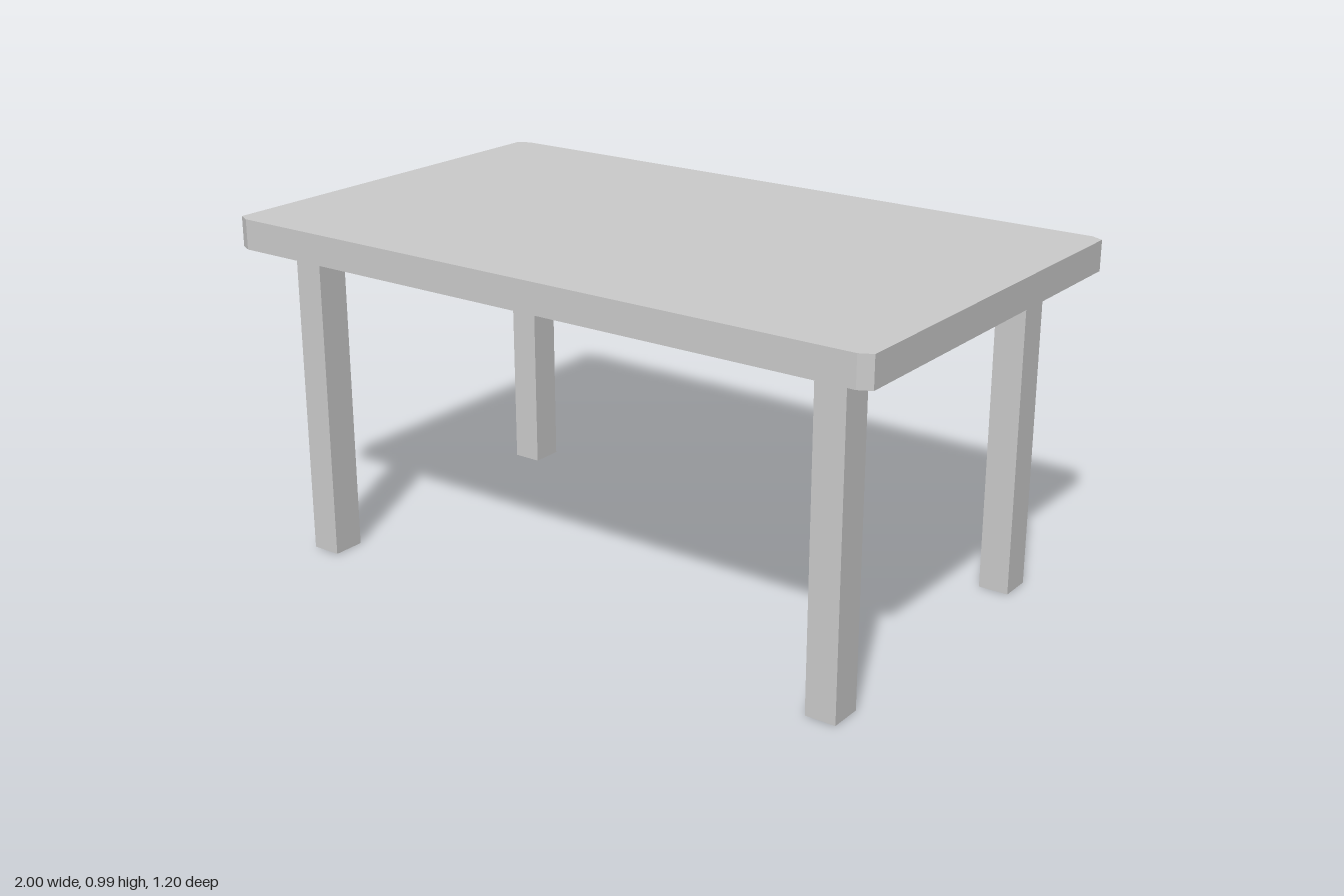
import * as THREE from 'three';

export function createModel() {
  const group = new THREE.Group();
  const material = new THREE.MeshStandardMaterial({ color: 0xcccccc, flatShading: true });

  const topBottom = 0.905, topHeight = 0.085;

  // Table top: a slab with small cut corners
  const w = 1, d = 0.6, cutX = 0.035, cutZ = 0.018;
  const outline = new THREE.Shape([
    [w - cutX, -d], [w, -d + cutZ], [w, d - cutZ], [w - cutX, d],
    [-w + cutX, d], [-w, d - cutZ], [-w, -d + cutZ], [-w + cutX, -d],
  ].map(([x, y]) => new THREE.Vector2(x, y)));
  const slab = new THREE.ExtrudeGeometry(outline, { depth: topHeight, bevelEnabled: false });
  slab.rotateX(-Math.PI / 2);
  const top = new THREE.Mesh(slab, material);
  top.name = 'tableTop';
  top.position.y = topBottom;
  group.add(top);

  // Four square legs, set in from the corners
  const legGeometry = new THREE.BoxGeometry(0.087, topBottom, 0.095);
  for (const [sideName, x] of [['Left', 0.838], ['Right', -0.843]]) {
    for (const [endName, z] of [['front', 0.449], ['back', -0.453]]) {
      const leg = new THREE.Mesh(legGeometry, material);
      leg.name = `${endName}${sideName}Leg`;
      leg.position.set(x, topBottom / 2, z);
      group.add(leg);
    }
  }
  return group;
}
